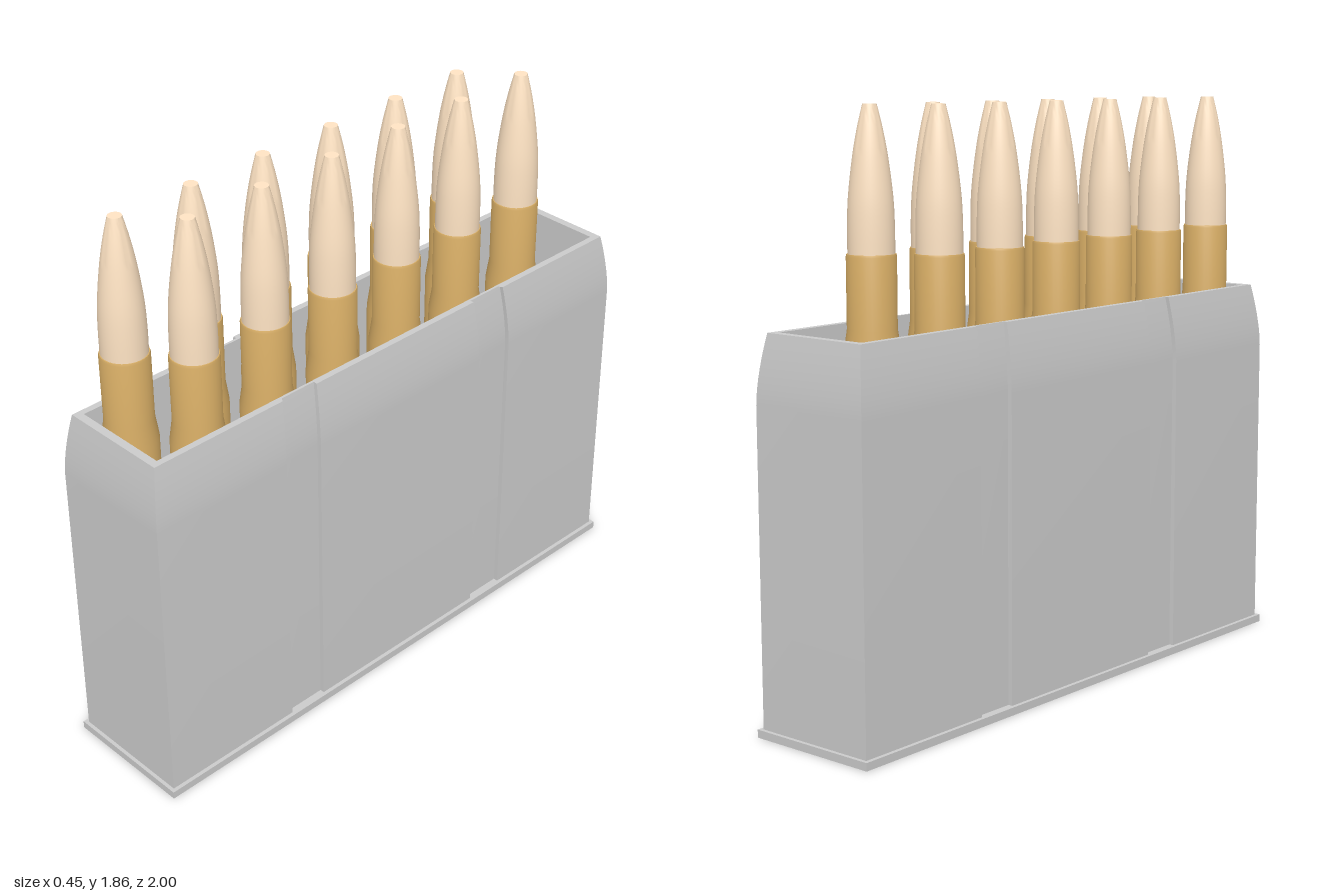
import * as THREE from 'three';
import { toCreasedNormals } from 'three/addons/utils/BufferGeometryUtils.js';

const steel = new THREE.MeshStandardMaterial({ color: 0xcccccc });
const brass = new THREE.MeshStandardMaterial({ color: 0xd8ae66 });
const copper = new THREE.MeshStandardMaterial({ color: 0xffe4c4 });

const PLATE = 0.025, SHOULDER = 1.0, TOP = 1.21;
const HALF_X = 0.212, HALF_Z = 0.988, GROOVE_X = 0.197;

function addMesh(parent, name, geometry, material) {
  const mesh = new THREE.Mesh(geometry, material);
  mesh.name = name;
  parent.add(mesh);
  return mesh;
}

// Plan of the case: a rectangle with two shallow grooves on each long side.
function caseOutline() {
  const right = [[HALF_X, HALF_Z]];
  for (const [z0, z1] of [[0.49, 0.35], [-0.35, -0.49]]) {
    right.push([HALF_X, z0], [GROOVE_X, z0], [GROOVE_X, z1], [HALF_X, z1]);
  }
  right.push([HALF_X, -HALF_Z]);
  return [...right, ...right.map(([x, z]) => [-x, -z])];
}

// Outer wall with curved-in top, then the rim and the plain inner wall.
function caseGeometry() {
  const outline = caseOutline();
  const rows = [];
  const outer = (y, t) => rows.push(outline.map(([x, z]) =>
    [x * (1 - 0.12 * t), y, z * (1 - 0.026 * t)]));
  outer(PLATE, 0);
  const steps = 8;
  for (let i = 0; i <= steps; i++) {
    const t = i / steps;
    outer(SHOULDER + (TOP - SHOULDER) * t, Math.pow(t, 1.6));
  }
  for (const y of [TOP, PLATE]) {
    rows.push(outline.map(([x, z]) => [Math.sign(x) * 0.165, y, z * 0.947]));
  }

  const n = outline.length, index = [];
  for (let j = 0; j < rows.length - 1; j++) {
    for (let i = 0; i < n; i++) {
      const a = j * n + i, b = j * n + (i + 1) % n;
      index.push(a, b, b + n, a, b + n, a + n);
    }
  }
  const geometry = new THREE.BufferGeometry();
  geometry.setAttribute('position', new THREE.Float32BufferAttribute(rows.flat(2), 3));
  geometry.setIndex(index);
  return toCreasedNormals(geometry, Math.PI / 6);
}

function lathe(profile) {
  const points = profile.map(([r, y]) => new THREE.Vector2(r, y));
  return toCreasedNormals(new THREE.LatheGeometry(points, 32), Math.PI / 7);
}

export function createModel() {
  const model = new THREE.Group();
  model.name = 'loadedMagazine';

  // Floor plate and case
  const plate = addMesh(model, 'basePlate', new THREE.BoxGeometry(0.45, PLATE, 2), steel);
  plate.position.y = PLATE / 2;
  addMesh(model, 'magazineCase', caseGeometry(), steel);

  // Cartridge case: rim, extractor groove, body, shoulder, neck
  const casing = lathe([
    [0, 0.03], [0.085, 0.03], [0.085, 0.06], [0.072, 0.07], [0.072, 0.09], [0.085, 0.11],
    [0.085, 1.13], [0.075, 1.2], [0.075, 1.415], [0.073, 1.422], [0.066, 1.422],
  ]);

  // Bullet: pointed curve with a small flat tip
  const ogive = new THREE.SplineCurve([
    [0.07, 1.41], [0.07, 1.5], [0.066, 1.59], [0.053, 1.7], [0.038, 1.785], [0.021, 1.857],
  ].map(([r, y]) => new THREE.Vector2(r, y)));
  const bullet = lathe([...ogive.getPoints(18).map((p) => [p.x, p.y]), [0, 1.857]]);

  // Twelve cartridges staggered in two columns
  for (let i = 0; i < 12; i++) {
    const cartridge = new THREE.Group();
    cartridge.name = `cartridge${i + 1}`;
    addMesh(cartridge, 'casing', casing, brass);
    addMesh(cartridge, 'bullet', bullet, copper);
    cartridge.position.set(i % 2 ? -0.077 : 0.069, 0, -0.653 + i * 0.1357);
    model.add(cartridge);
  }
  return model;
}
